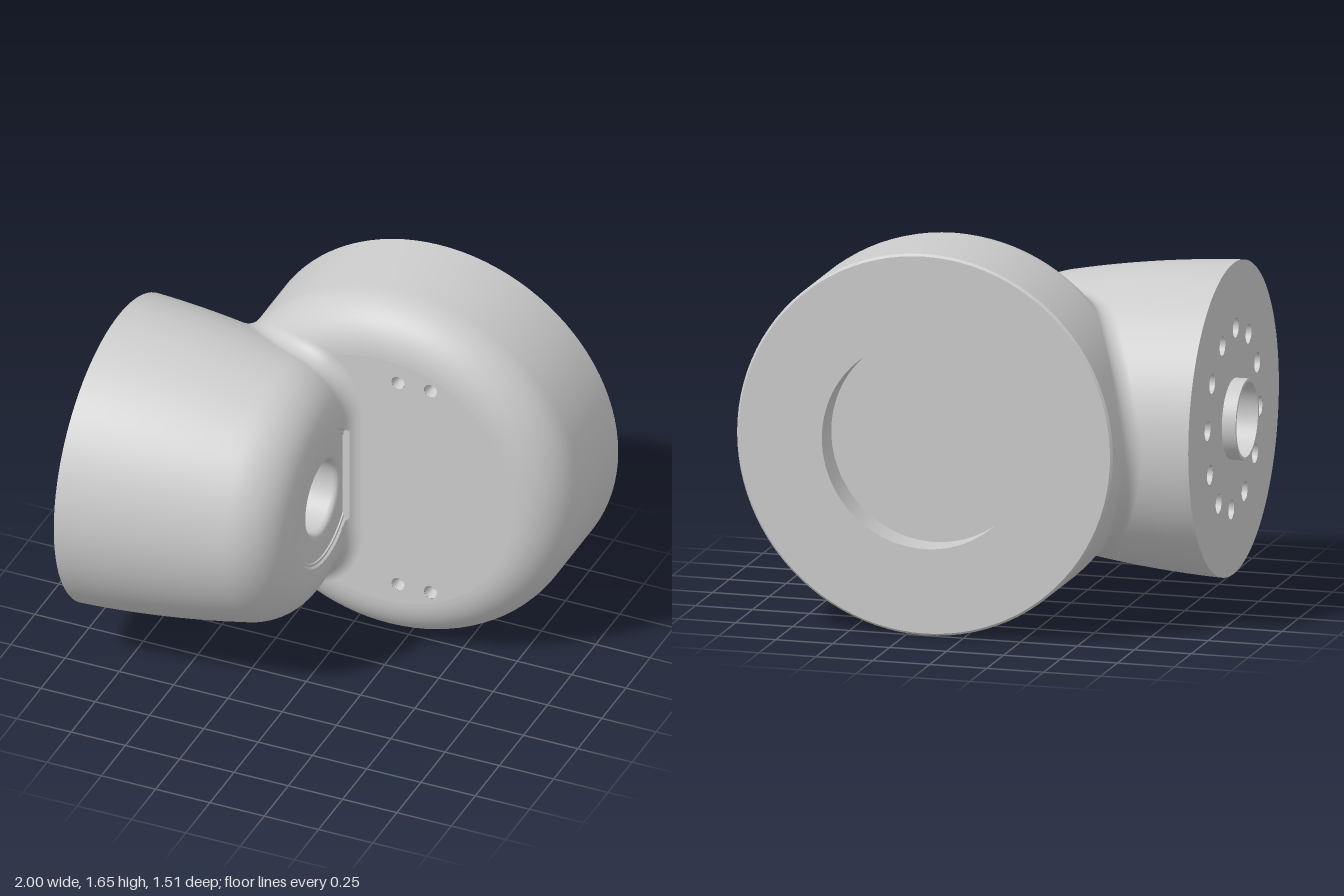
import * as THREE from 'three';
import { toCreasedNormals } from 'three/addons/utils/BufferGeometryUtils.js';

const SEG = 96;
const CY = 0.83; // height of both axes
const BELL_Z = 0.08; // bell axis runs along x
const DISC = { x: 0.17, r: 0.825, front: -0.15, back: -0.755, round: 0.215 };
const FILLET = 0.07;
const POCKET = { r: 0.3, floor: 0, flatZ: -0.125 };
const V = (x, y) => new THREE.Vector2(x, y);

// Outer bell profile as (x, radius): tapering side, rounded shoulder, flat end
const bellCurves = [
  new THREE.QuadraticBezierCurve(V(-0.94, 0.672), V(-0.57, 0.657), V(-0.2, 0.583)),
  new THREE.CubicBezierCurve(V(-0.2, 0.583), V(-0.07, 0.557), V(0.015, 0.46), V(0.015, 0.33)),
  new THREE.LineCurve(V(0.015, 0.33), V(0.015, 0.1)),
];

function lathe(points, seg = SEG) {
  return toCreasedNormals(new THREE.LatheGeometry(points, seg), 0.5);
}

// Blind hole opening towards +y
function cup(r, depth, bottom = r) {
  return lathe([V(r, 0), V(bottom, -depth), V(0, -depth)], 24);
}

// Flat round plate facing +z with circular holes [x, y, r]
function plate(r, holes) {
  const shape = new THREE.Shape().absarc(0, 0, r, 0, Math.PI * 2);
  for (const [x, y, hr] of holes) {
    shape.holes.push(new THREE.Path().absarc(x, y, hr, 0, Math.PI * 2, true));
  }
  return new THREE.ShapeGeometry(shape, SEG / 2);
}

// Distance to the rounded disc and the direction away from it
function discField(p) {
  const dx = p.x - DISC.x, dy = p.y - CY, rho = Math.hypot(dx, dy);
  const a = rho - (DISC.r - DISC.round), b = p.z - (DISC.front - DISC.round);
  const qa = Math.max(a, 0), qb = Math.max(b, 0), len = Math.hypot(qa, qb);
  const normal = new THREE.Vector3((qa * dx) / rho, (qa * dy) / rho, qb).normalize();
  return { d: len + Math.min(Math.max(a, b), 0) - DISC.round, normal };
}

// Point offset outward from the bell by the fillet radius
function bellOffset(s, theta) {
  const k = Math.min(2, Math.floor(s));
  const p = bellCurves[k].getPoint(s - k), t = bellCurves[k].getTangent(s - k);
  const spin = (x, r) => new THREE.Vector3(x, r * Math.sin(theta), -r * Math.cos(theta));
  const normal = spin(-t.y, t.x);
  const point = spin(p.x, p.y).add(new THREE.Vector3(0, CY, BELL_Z)).addScaledVector(normal, FILLET);
  return { point, normal };
}

// Finds where f changes from negative (at lo) to positive (at hi)
function solve(f, lo, hi) {
  for (let i = 0; i < 36; i++) {
    const mid = (lo + hi) / 2;
    if (f(mid) < 0) lo = mid; else hi = mid;
  }
  return (lo + hi) / 2;
}

// Rolling-ball fillet along the seam between bell and disc
function filletGeometry() {
  const gap = (s, th) => discField(bellOffset(s, th).point).d - FILLET;
  const s0 = solve((s) => gap(s, 0), 1, 0);
  const s1 = solve((s) => gap(s, 0), 2, 3);
  const N = 240, M = 10, pos = [], nor = [], idx = [];
  for (let i = 0; i <= N; i++) {
    const u = (i / N) * Math.PI * 2;
    const s = s0 + ((s1 - s0) * (1 - Math.cos(u))) / 2;
    const theta = solve((th) => gap(s, th), 0, Math.PI * 0.6) * (Math.sin(u) < 0 ? -1 : 1);
    const { point: c, normal } = bellOffset(s, theta);
    const discNormal = discField(c).normal;
    const angle = normal.angleTo(discNormal);
    for (let j = 0; j <= M; j++) {
      const t = j / M;
      const n = normal.clone().multiplyScalar(Math.sin((1 - t) * angle))
        .addScaledVector(discNormal, Math.sin(t * angle)).normalize();
      const p = c.clone().addScaledVector(n, -FILLET);
      // The pocket's straight side cuts the fillet
      if (p.z > POCKET.flatZ && Math.hypot(p.y - CY, p.z - BELL_Z) < POCKET.r) {
        p.z = POCKET.flatZ;
        if (j === 0) p.x = POCKET.floor;
        n.set(0, 0, 1);
      }
      pos.push(p.x, p.y, p.z);
      nor.push(n.x, n.y, n.z);
      if (i < N && j < M) {
        const a = i * (M + 1) + j, b = a + M + 1;
        idx.push(a, b, a + 1, b, b + 1, a + 1);
      }
    }
  }
  const g = new THREE.BufferGeometry();
  g.setAttribute('position', new THREE.Float32BufferAttribute(pos, 3));
  g.setAttribute('normal', new THREE.Float32BufferAttribute(nor, 3));
  g.setIndex(idx);
  return g;
}

export function createModel() {
  const model = new THREE.Group();
  const material = new THREE.MeshStandardMaterial({ color: 0xcccccc });
  const add = (name, geometry, x = 0, y = 0, z = 0) => {
    const mesh = new THREE.Mesh(geometry, material);
    mesh.name = name;
    mesh.position.set(x, y, z);
    model.add(mesh);
    return mesh;
  };

  // Bell with end pocket, through bore and spigot
  const outer = [
    ...bellCurves[0].getPoints(14),
    ...bellCurves[1].getPoints(16).slice(1),
    V(0.015, 0.305), V(0.006, 0.298), V(0.006, 0.286), V(POCKET.floor, 0.284), V(POCKET.floor, 0.185),
  ];
  for (let i = 1; i <= 5; i++) {
    const a = (i / 5) * Math.PI / 2;
    outer.push(V(-0.025 + 0.025 * Math.cos(a), 0.185 - 0.025 * Math.sin(a)));
  }
  outer.push(V(-1, 0.16), V(-1, 0.173), V(-0.94, 0.173));
  add('bellHousing', lathe(outer.map((p) => V(p.y, p.x))).rotateZ(-Math.PI / 2), 0, CY, BELL_Z);

  // Bell mounting face with a ring of bolt holes
  const bolts = [];
  for (let i = 0; i < 12; i++) {
    const a = ((5 + 30 * i) * Math.PI) / 180;
    bolts.push([0.387 * Math.sin(a), 0.387 * Math.cos(a), 0.043]);
  }
  add('bellMountingFace', plate(0.672, [...bolts, [0, 0, 0.173]]).rotateY(-Math.PI / 2), -0.94, CY, BELL_Z);
  for (const [z, y, r] of bolts) {
    add('boltHole', cup(r, 0.14).rotateZ(Math.PI / 2), -0.94, CY + y, BELL_Z + z);
  }

  // Disc with round recess in the back and rounded front edge
  const profile = [
    V(0, -0.615), V(0.45, -0.615), V(0.45, DISC.back),
    V(DISC.r - 0.01, DISC.back), V(DISC.r, DISC.back + 0.01),
  ];
  for (let i = 0; i <= 14; i++) {
    const a = (i / 14) * Math.PI / 2;
    profile.push(V(DISC.r - DISC.round + DISC.round * Math.cos(a), DISC.front - DISC.round + DISC.round * Math.sin(a)));
  }
  add('discHousing', lathe(profile).rotateX(Math.PI / 2), DISC.x, CY, 0);

  // Disc front face with two pairs of screw holes
  const screws = [];
  for (const x of [0.075, 0.225]) for (const y of [-0.51, 0.51]) screws.push([x, y, 0.03]);
  add('discFrontFace', plate(DISC.r - DISC.round, screws), DISC.x, CY, DISC.front);
  for (const [x, y, r] of screws) {
    add('screwHole', cup(r, 0.05, 0.018).rotateX(Math.PI / 2), DISC.x + x, CY + y, DISC.front);
  }

  add('blendFillet', filletGeometry());
  return model;
}
